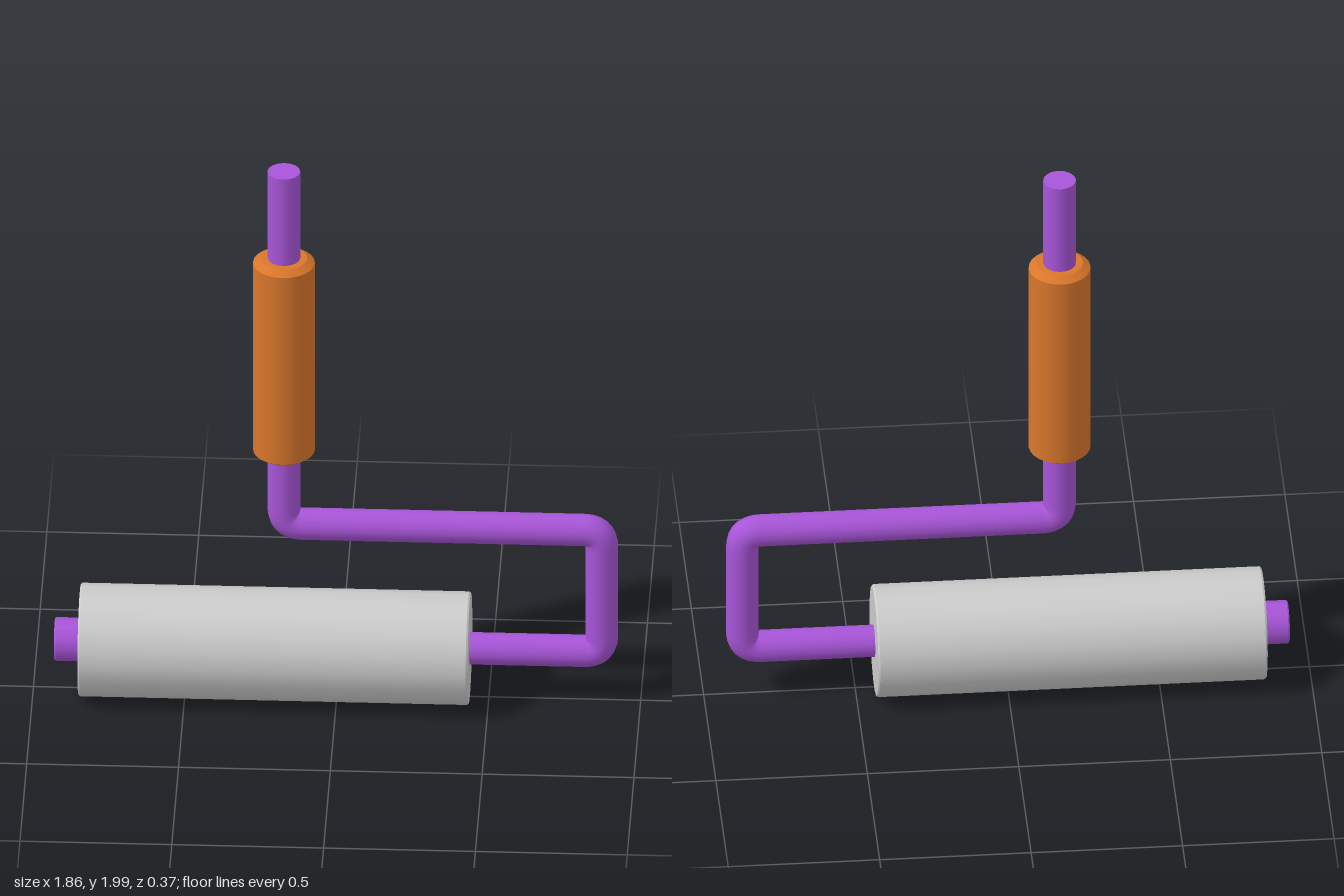
import * as THREE from 'three';

const ROD_RADIUS = 0.054;
const AXLE_Y = 0.193;
const HANDLE_X = -0.175;

function material(color) {
  return new THREE.MeshStandardMaterial({ color });
}

// Straight segments joined by tight rounded bends
function bentPath(points, bend) {
  const path = new THREE.CurvePath();
  let start = points[0];
  for (let i = 1; i < points.length - 1; i++) {
    const corner = points[i];
    const before = corner.clone().add(points[i - 1].clone().sub(corner).setLength(bend));
    const after = corner.clone().add(points[i + 1].clone().sub(corner).setLength(bend));
    path.add(new THREE.LineCurve3(start, before));
    path.add(new THREE.QuadraticBezierCurve3(before, corner, after));
    start = after;
  }
  path.add(new THREE.LineCurve3(start, points[points.length - 1]));
  return path;
}

// Closed cylinder with bevelled ends, crisp at every edge
function bevelledCylinder(radius, length, bevelIn, bevelLength, sides) {
  const h = length / 2;
  const profile = [
    [0, -h], [radius - bevelIn, -h], [radius - bevelIn, -h],
    [radius, -h + bevelLength], [radius, -h + bevelLength],
    [radius, h - bevelLength], [radius, h - bevelLength],
    [radius - bevelIn, h], [radius - bevelIn, h], [0, h],
  ].map(([x, y]) => new THREE.Vector2(x, y));
  // Each pair of points is its own band, so normals stay separate
  const group = new THREE.Group();
  for (let i = 0; i < profile.length; i += 2) {
    group.add(new THREE.Mesh(new THREE.LatheGeometry([profile[i], profile[i + 1]], sides)));
  }
  return group;
}

function bevelledPart(name, color, ...size) {
  const part = bevelledCylinder(...size);
  const mat = material(color);
  part.name = name;
  part.children.forEach((band) => {
    band.name = name + 'Surface';
    band.material = mat;
  });
  return part;
}

export function createModel() {
  const model = new THREE.Group();
  model.name = 'paintRoller';
  const purple = material(0xa855d8);

  // Roller sleeve lying along x
  const roller = bevelledPart('rollerSleeve', 0xcccccc, 0.187, 1.285, 0.004, 0.006, 18);
  roller.rotation.z = Math.PI / 2;
  roller.position.set(-0.205, AXLE_Y, 0);
  model.add(roller);

  // Axle end cap
  const cap = bevelledPart('axleCap', 0xa855d8, 0.072, 0.1, 0.004, 0.005, 12);
  cap.rotation.z = Math.PI / 2;
  cap.position.set(-0.88, AXLE_Y, 0);
  model.add(cap);

  // Bent frame rod from the roller up through the grip
  const path = bentPath([
    new THREE.Vector3(0.4, AXLE_Y, 0),
    new THREE.Vector3(0.872, AXLE_Y, 0),
    new THREE.Vector3(0.872, 0.655, 0),
    new THREE.Vector3(HANDLE_X, 0.655, 0),
    new THREE.Vector3(HANDLE_X, 2, 0),
  ], 0.06);
  const rod = new THREE.Mesh(new THREE.TubeGeometry(path, 260, ROD_RADIUS, 16, false), purple);
  rod.name = 'frameRod';
  model.add(rod);

  // Flat end of the rod
  const rodEnd = new THREE.Mesh(new THREE.CircleGeometry(ROD_RADIUS, 16), purple);
  rodEnd.name = 'rodEnd';
  rodEnd.rotation.x = -Math.PI / 2;
  rodEnd.position.set(HANDLE_X, 2, 0);
  model.add(rodEnd);

  // Grip
  const grip = bevelledPart('grip', 0xd9762b, 0.102, 0.75, 0.025, 0.018, 24);
  grip.position.set(HANDLE_X, 1.295, 0);
  model.add(grip);

  return model;
}
